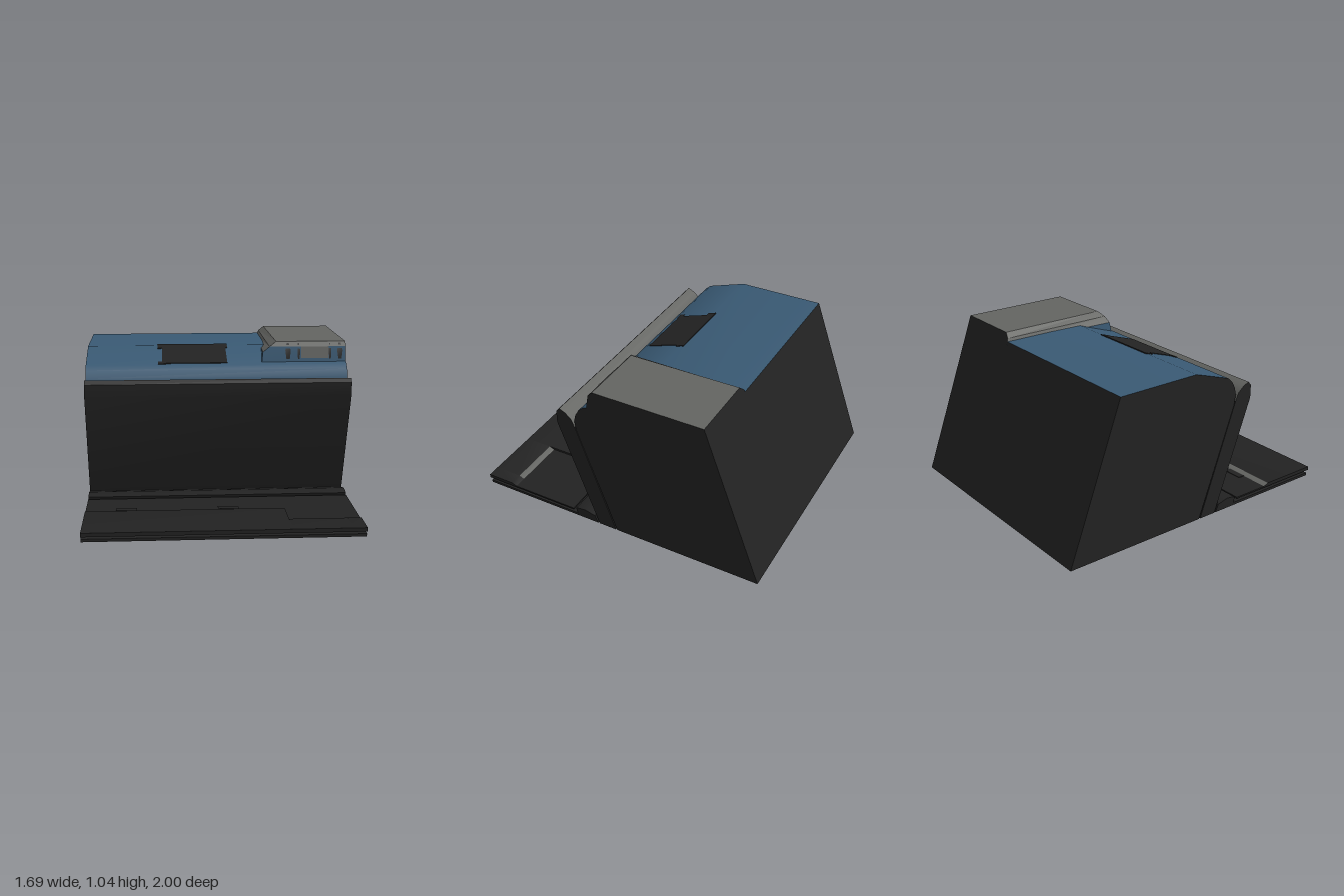
import * as THREE from 'three';
import { toCreasedNormals } from 'three/addons/utils/BufferGeometryUtils.js';

const make = (name, color) => {
  const m = new THREE.MeshStandardMaterial({ color });
  m.name = name;
  return m;
};

export function createModel() {
  const model = new THREE.Group();
  const mats = [make('black plastic', 0x222222), make('blue plastic', 0x395973), make('grey plastic', 0x636461)];
  const K = 0, B = 1, G = 2;

  // Faces are lists of corners with a material index, fanned into triangles
  function addFaces(name, faces, crease = 0.55) {
    const pos = [];
    let geo = new THREE.BufferGeometry();
    for (const [mat, c] of faces) {
      const start = pos.length / 3;
      for (let i = 1; i < c.length - 1; i++) pos.push(...c[0], ...c[i], ...c[i + 1]);
      geo.addGroup(start, pos.length / 3 - start, mat);
    }
    geo.setAttribute('position', new THREE.Float32BufferAttribute(pos, 3));
    geo = toCreasedNormals(geo, crease);
    const mesh = new THREE.Mesh(geo, mats);
    mesh.name = name;
    model.add(mesh);
    return mesh;
  }

  // Side profile of [z, y, colour of the edge that starts here], swept along x
  function prism(name, x0, x1, profile) {
    const faces = [];
    const at = (p, x) => [x, p[1], p[0]];
    const flat = profile.map(p => new THREE.Vector2(p[0], p[1]));
    for (const [a, b, c] of THREE.ShapeUtils.triangulateShape(flat, [])) {
      faces.push([K, [a, b, c].map(i => at(profile[i], x0))]);
      faces.push([K, [c, b, a].map(i => at(profile[i], x1))]);
    }
    profile.forEach((p, i) => {
      const q = profile[(i + 1) % profile.length];
      faces.push([p[2] ?? K, [at(p, x0), at(p, x1), at(q, x1), at(q, x0)]]);
    });
    return addFaces(name, faces);
  }

  const W = 0.845;

  // Main body with the rounded blue cover
  prism('body', -W, W, [
    [-1, 0], [-0.01, 0], [0.25, 0.71, B], [0.262, 0.78, B], [0.25, 0.83, B], [0.225, 0.875, B],
    [0.19, 0.905, B], [-0.07, 0.99, B], [-0.638, 0.99],
  ]);

  // Raised housing, built from stacked rings: y, left x at front, left x at back, front z
  const rings = [
    [0.88, 0.29, 0.33, 0.172], [0.975, 0.3, 0.338, 0.157],
    [1.01, 0.345, 0.35, 0.15], [1.04, 0.39, 0.385, 0.122],
  ].map(([y, xf, xb, zf]) => {
    const zb = -1 + 0.3655 * y;
    return [[xf, y, zf], [W, y, zf], [W, y, zb], [xb, y, zb]];
  });
  const ringColors = [[B, K, K, B], [B, K, K, G], [G, K, K, G]];
  const housing = [[G, rings[3]]];
  ringColors.forEach((cols, r) => cols.forEach((col, i) => {
    const j = (i + 1) % 4, lo = rings[r], hi = rings[r + 1];
    housing.push([col, [lo[i], lo[j], hi[j], hi[i]]]);
  }));
  addFaces('raisedHousing', housing, 0.1);

  // Front plate of the housing between two dark slots
  const f = 0.003;
  addFaces('housingFrontPlate', [
    [G, [[0.55, 0.935, 0.164 + f], [0.73, 0.935, 0.164 + f], [0.73, 1.01, 0.15 + f], [0.55, 1.01, 0.15 + f]]],
    [G, [[0.55, 1.01, 0.15 + f], [0.73, 1.01, 0.15 + f], [0.73, 1.04, 0.122 + f], [0.55, 1.04, 0.122 + f]]],
  ]);
  for (const x of [0.465, 0.535, 0.74, 0.805]) {
    const w = x === 0.465 || x === 0.805 ? 0.018 : 0.009;
    addFaces('housingSlot', [
      [K, [[x - w * 0.6, 0.93, 0.168], [x + w * 0.6, 0.93, 0.168], [x + w, 0.985, 0.159], [x - w, 0.985, 0.159]]],
      [K, [[x - w, 0.985, 0.159], [x + w, 0.985, 0.159], [x + w * 0.4, 1.03, 0.136], [x - w * 0.4, 1.03, 0.136]]],
    ]);
  }

  // Dark display lying on the sloped part of the cover
  const slopeY = z => 0.99 - (z + 0.07) * (0.085 / 0.26);
  const slopePlate = (name, x0, x1, z0, z1) => prism(name, x0, x1, [
    [z0, slopeY(z0) - 0.003], [z1, slopeY(z1) - 0.003], [z1, slopeY(z1) + 0.004], [z0, slopeY(z0) + 0.004],
  ]);
  slopePlate('display', -0.355, 0.068, -0.06, 0.178);
  slopePlate('displayTopEdge', -0.385, 0.08, -0.08, -0.025);
  slopePlate('displayCorner', -0.38, -0.33, 0.155, 0.185);

  // Front door with a pale top lip
  prism('frontDoor', -W, W, [
    [0, 0], [0.122, 0], [0.39, 0.73], [0.39, 0.815], [0.367, 0.84, G], [0.325, 0.82, G],
    [0.285, 0.785, G], [0.263, 0.735],
  ]);

  // Tray: hinge bar, thin base sheet and deck above it
  prism('trayHinge', -W, W, [
    [0.132, 0], [0.285, 0.008], [0.3, 0.055], [0.28, 0.062], [0.23, 0.068], [0.155, 0.05],
  ]);
  prism('trayBase', -W, W, [[0.135, 0], [0.985, 0], [0.985, 0.018], [0.15, 0.018]]);
  prism('trayDeck', -W, W, [[0.32, 0.036], [1, 0.036], [1, 0.046], [0.32, 0.046]]);

  // Raised deck levels with a pale step along the back edge
  for (const [x0, x1, z, col] of [[-W, 0.4, 0.57, G], [0.4, 0.76, 0.78, G], [0.76, W, 0.78, K]]) {
    prism('deckStep', x0, x1, [
      [z, 0.044], [1, 0.044], [1, 0.06], [z + 0.035, 0.06, col], [z, 0.046],
    ]);
  }
  for (const x of [-0.59, 0.05]) {
    prism('deckTab', x - 0.065, x + 0.065, [[0.525, 0.045], [0.57, 0.045], [0.57, 0.05], [0.525, 0.05]]);
  }

  return model;
}
